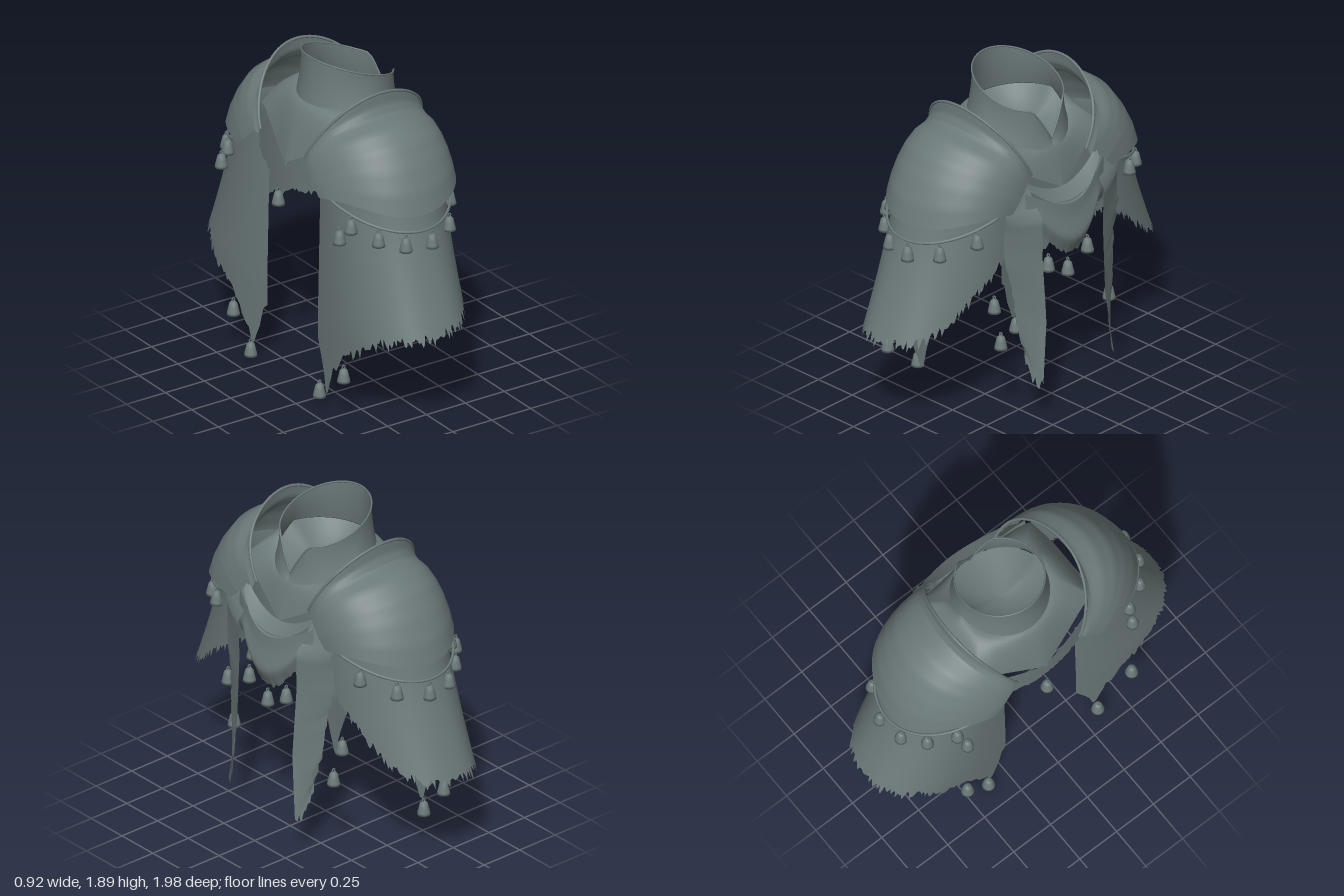
import * as THREE from 'three';

const metal = new THREE.MeshStandardMaterial({ color: 0x6c7979, side: THREE.DoubleSide });
metal.name = 'slate grey';
const { sin, cos, abs, sign, max, min, PI } = Math;
const lerp = THREE.MathUtils.lerp;

// Repeatable noise in -1..1 for ragged hems
const noise = (i, seed) => {
  const s = sin(i * 12.9898 + seed * 78.233) * 43758.5453;
  return (s - Math.floor(s)) * 2 - 1;
};

// Value at t of a list of [t, value] steps
function along(steps, t) {
  for (let i = 1; i < steps.length; i++) {
    const [a, va] = steps[i - 1], [b, vb] = steps[i];
    if (t <= b) return lerp(va, vb, (t - a) / (b - a));
  }
  return steps[steps.length - 1][1];
}

// Curved sheet: fn(u, v, column) gives the position of each grid point
function sheet(name, nu, nv, fn) {
  const geo = new THREE.PlaneGeometry(1, 1, nu, nv);
  const pos = geo.attributes.position;
  for (let j = 0; j <= nv; j++) for (let i = 0; i <= nu; i++) {
    pos.setXYZ(j * (nu + 1) + i, ...fn(i / nu, j / nv, i));
  }
  geo.computeVertexNormals();
  const mesh = new THREE.Mesh(geo, metal);
  mesh.name = name;
  return mesh;
}

function cord(name, fn, radius) {
  const pts = Array.from({ length: 25 }, (_, i) => new THREE.Vector3(...fn(i / 24)));
  const mesh = new THREE.Mesh(new THREE.TubeGeometry(new THREE.CatmullRomCurve3(pts), 60, radius, 6), metal);
  mesh.name = name;
  return mesh;
}

// Small bell with a hanging loop
const bellGeo = new THREE.LatheGeometry([[0, -0.035], [0.028, -0.035], [0.036, -0.045], [0.034, -0.03], [0.027, 0], [0.022, 0.022],
  [0.012, 0.032], [0, 0.034]].map(p => new THREE.Vector2(...p)), 14);
const loopGeo = new THREE.TorusGeometry(0.009, 0.004, 6, 10);
function bell(x, y, z) {
  const g = new THREE.Group();
  g.name = 'bell';
  const loop = new THREE.Mesh(loopGeo, metal);
  loop.position.y = 0.042;
  g.add(new THREE.Mesh(bellGeo, metal), loop);
  g.position.set(x, y, z);
  return g;
}

// Shoulder guard sections: half width, end z, end y, middle z, middle y
const guard = [
  [0.36, 0.21, 1.42, 0.40, 1.78], [0.365, 0.225, 1.41, 0.405, 1.71], [0.375, 0.24, 1.40, 0.43, 1.66],
  [0.38, 0.27, 1.375, 0.54, 1.635], [0.385, 0.30, 1.345, 0.635, 1.565], [0.39, 0.33, 1.315, 0.71, 1.46],
  [0.39, 0.36, 1.285, 0.77, 1.34], [0.39, 0.385, 1.26, 0.805, 1.22],
];
function guardPoint(t, v, side) {
  const f = v * (guard.length - 1), i = min(Math.floor(f), guard.length - 2);
  const [a, ze, ye, zm, ym] = guard[i].map((n, k) => lerp(n, guard[i + 1][k], f - i));
  // fuller towards the chest than towards the back
  const c = cos(PI * t), s = max(sin(PI * t), 0) ** (1.05 - 0.2 * c);
  const arch = 0.04 * v * sin(PI * s);
  return [-0.055 + a * c, lerp(ye, ym, s) + arch, side * lerp(ze, zm, s)];
}

// Hem height of the side cloth, from its front edge round to its back edge
const hem = [[0, 1.0], [0.094, 0.87], [0.185, 0.75], [0.25, 0.66], [0.36, 0.59], [0.5, 0.57], [0.65, 0.56],
  [0.75, 0.53], [0.82, 0.45], [0.91, 0.34], [0.945, 0.22], [0.97, 0.08], [1, 0.36]];

function shoulder(side, seed) {
  const g = new THREE.Group();
  g.name = side > 0 ? 'frontShoulder' : 'backShoulder';
  g.add(sheet('shoulderGuard', 40, 28, (u, v) => guardPoint(u, v, side)));
  g.add(cord('guardRim', t => guardPoint(t, 0, side), 0.008));

  // Ragged cloth hanging round the arm, its back edge curling inwards
  g.add(sheet('sideCloth', 140, 16, (u, v, i) => {
    const y = lerp(1.33, along(hem, u), v) + 0.035 * noise(i, seed) * v ** 8;
    const k = max(0, min(1.1, (1.3 - y) / 0.72)), c = cos(PI * u);
    const s = max(sin(PI * u), 0) ** lerp(1, 0.87, k);
    const curl = u > 0.5 ? 0.075 * (1 - s) ** 2 : 0;
    const x = -0.065 + (0.345 + 0.015 * k) * sign(c) * abs(c) ** lerp(1, 0.8, k) + curl;
    return [x, y, side * lerp(lerp(0.38, 0.24, u), 0.765 + 0.215 * k ** 1.3, s)];
  }));

  // Narrow torn strip at the chest, slanting back towards the arm
  g.add(sheet('chestStrip', 14, 24, (u, v, i) => {
    const y = lerp(1.4, 0.23 + 0.3 * (u - 0.25) ** 2, v) + 0.03 * noise(i, seed + 3) * v ** 4;
    const outer = along([[0, 0.4], [0.1, 0.43], [0.38, 0.435], [0.55, 0.39], [0.8, 0.36], [1, 0.32]], v)
      + 0.012 * noise(Math.round(v * 24), seed + 5) * (v > 0.35);
    const inner = along([[0, 0.24], [0.7, 0.225], [1, 0.27]], v);
    const x = along([[0, 0.29], [0.1, 0.35], [0.17, 0.41], [0.35, 0.405], [1, 0.45]], v);
    return [x - 0.09 * u * min(1, v * 5), y, side * lerp(inner, outer, u)];
  }));

  // Cord of bells below the guard
  const cordPoint = t => {
    const a = PI * lerp(0.07, 0.93, t);
    return [-0.055 + 0.36 * cos(a), 1.29 - 0.155 * sin(a), side * (0.35 + 0.465 * sin(a))];
  };
  g.add(cord('bellCord', cordPoint, 0.008));
  for (const t of [0.1, 0.28, 0.46, 0.62, 0.76, 0.9]) {
    const [x, y, z] = cordPoint(t);
    g.add(bell(x, y - 0.06, z + side * 0.015));
  }
  g.add(bell(-0.43, 1.1, side * 0.56));
  return g;
}

export function createModel() {
  const model = new THREE.Group();
  model.name = 'shoulderArmour';

  // Tall sloped collar with a notch at the throat
  const baseY = c => 1.66 - 0.16 * max(c, 0) - 0.03 * max(-c, 0);
  const collarPoint = (u, v) => {
    const a = u * 2 * PI, c = cos(a), s = sin(a);
    const off = min(a, 2 * PI - a);
    const top = min(1.805 - 0.34 * 0.25 * c, 1.54 + 0.4 * off);
    const flare = 0.025 * v * v;
    return [(0.25 + flare) * c, lerp(top, baseY(c), v), (0.238 + flare) * s];
  };
  model.add(sheet('collar', 96, 8, collarPoint));
  model.add(cord('collarRim', t => collarPoint(t, 0), 0.005));

  // Shallow lining closing the bottom of the collar
  model.add(sheet('collarLining', 48, 5, (u, v) => {
    const a = u * 2 * PI, c = cos(a);
    return [0.27 * v * c, lerp(1.5, baseY(c), v * v), 0.26 * v * sin(a)];
  }));

  // Neck plate spreading to the shoulders, with a ridge and point at chest and back
  const plateDrop = z => min(1.47, 1.28 + 0.6 * abs(z));
  model.add(sheet('neckPlate', 96, 12, (u, v) => {
    const a = u * 2 * PI, c = cos(a), s = sin(a);
    const ridged = sign(c) * min(1 - 0.3 * abs(s), 2.2 * abs(c));
    const x = lerp(0.275 * c, (c > 0 ? 0.335 : 0.4) * ridged, v ** 0.8);
    const drop = v ** (1 + 0.7 * abs(s) + 0.4 * max(-c, 0));
    return [x, lerp(baseY(c), plateDrop(0.42 * s), drop), lerp(0.263, 0.42, v) * s];
  }));

  // Scarf fold and hanging drape across the chest
  const bow = z => cos(min(1, abs(z) / 0.36) * PI / 2);
  model.add(sheet('chestScarf', 30, 6, (u, v) => {
    const z = lerp(-0.27, 0.27, u);
    const y = lerp(1.29 + 1.6 * z * z, 1.225 + 1.9 * z * z, v);
    return [0.3 + (0.035 + 0.085 * v) * bow(z), y, z];
  }));
  model.add(sheet('chestDrape', 48, 12, (u, v, i) => {
    const z = lerp(-0.3, 0.3, u);
    const y = lerp(1.24 + 1.3 * z * z, 0.92 + min(0.19, 4.2 * z * z), v) + 0.012 * noise(i, 9) * v ** 6;
    return [0.32 + bow(z) * along([[0, 0.09], [0.3, 0.1], [0.7, 0.13], [1, 0.085]], v), y, z];
  }));

  // Short drape at the back
  model.add(sheet('backDrape', 40, 8, (u, v, i) => {
    const z = lerp(-0.32, 0.32, u);
    const y = lerp(plateDrop(z) + 0.02, 1.16 + 0.9 * z * z, v) + 0.015 * noise(i, 4) * v ** 6;
    return [-0.34 - 0.055 * bow(z), y, z];
  }));

  model.add(shoulder(1, 1), shoulder(-1, 2));

  // Loose bells on the drapes and hems
  const loose = [
    [0.39, 0.91, 0.17], [0.39, 0.83, 0.02], [0.39, 0.91, -0.13], [0.33, 1.01, 0.21], [-0.43, 1.1, -0.02],
    [0.28, 0.73, 0.47], [0.28, 0.49, 0.42], [0.29, 0.48, -0.4],
    [-0.41, 0.28, 0.57], [-0.41, 0.1, 0.34], [-0.38, 0.23, -0.52], [-0.37, 0.045, -0.37],
  ];
  loose.forEach(p => model.add(bell(...p)));
  return model;
}
